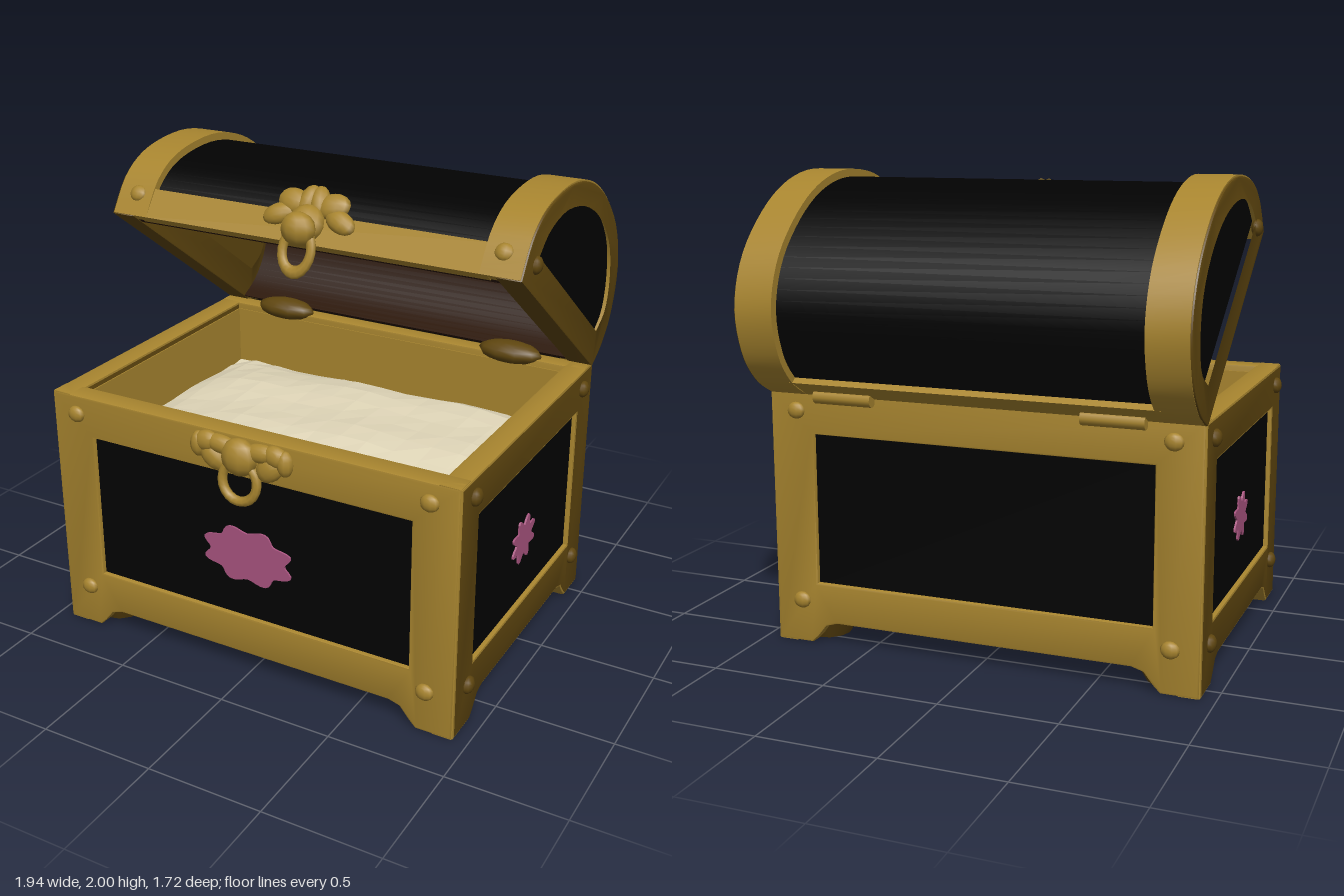
import * as THREE from 'three';
import { toCreasedNormals } from 'three/addons/utils/BufferGeometryUtils.js';

const mat = (name, color, extra = {}) => Object.assign(new THREE.MeshStandardMaterial({ color, ...extra }), { name });

export function createModel() {
  const gold = mat('gold trim', 0xa8852f);
  const darkGold = mat('dark gold sides', 0x5f460f);
  const black = mat('black panel', 0x020202);
  const brown = mat('brown lining', 0x2a1404);
  const cream = mat('cream filling', 0xe2d8ba, { flatShading: true });
  const pink = mat('pink emblem', 0xa8547f);
  const root = new THREE.Group();
  root.name = 'chest';

  const add = (parent, name, geo, material, pos = [0, 0, 0], scale = [1, 1, 1]) => {
    const m = new THREE.Mesh(geo, material);
    m.name = name;
    m.position.set(...pos);
    m.scale.set(...scale);
    parent.add(m);
    return m;
  };
  const group = (name, parent, pos, rx = 0, ry = 0) => {
    const g = new THREE.Group();
    g.name = name;
    g.position.set(...pos);
    g.rotation.set(rx, ry, 0);
    parent.add(g);
    return g;
  };
  const toShape = (pts) => new THREE.Shape(pts.map(([x, y]) => new THREE.Vector2(x, y)));
  const extrude = (pts, depth, holes = [], bevel = 0) => {
    const shape = toShape(pts);
    holes.forEach((h) => shape.holes.push(toShape(h)));
    const geo = new THREE.ExtrudeGeometry(shape, {
      depth: depth - 2 * bevel, bevelEnabled: bevel > 0, bevelSize: bevel,
      bevelThickness: bevel, bevelOffset: -bevel, bevelSegments: 2,
    });
    geo.translate(0, 0, bevel);
    return toCreasedNormals(geo, 0.6);
  };
  const ball = new THREE.SphereGeometry(1, 10, 8);
  const rivet = (parent, x, y, z, material) => add(parent, 'rivet', ball, material, [x, y, z], [0.04, 0.036, 0.024]);

  // Scalloped flower plate
  const flower = (n, rx, ry, depth) => extrude(
    Array.from({ length: n * 8 }, (_, i) => {
      const a = (i / (n * 8)) * Math.PI * 2;
      const r = 1 - depth + depth * Math.cos(n * a + Math.PI);
      return [rx * r * Math.cos(a), ry * r * Math.sin(a)];
    }), 0.008);

  // One wall of the box: footed frame, sunken panel, inner lining
  const wall = (name, w, h, pos, ry, face, emblem) => {
    const g = group(name, root, pos, 0, ry);
    const outline = [[-w, 0], [-w + 0.16, 0], [-w + 0.19, 0.03], [-w + 0.23, 0.08], [-w + 0.28, 0.095],
      [w - 0.28, 0.095], [w - 0.23, 0.08], [w - 0.19, 0.03], [w - 0.16, 0], [w, 0], [w, 1.1], [-w, 1.1]];
    const hole = [[-h, 0.27], [-h, 0.92], [h, 0.92], [h, 0.27]];
    // Flat faces take the wall's own tone, rims stay gold
    add(g, 'frame', extrude(outline, 0.1, [hole], 0.01), [face, gold], [0, 0, -0.1]);
    add(g, 'panel', new THREE.BoxGeometry(2 * h + 0.06, 0.71, 0.05), black, [0, 0.595, -0.045]);
    add(g, 'innerLining', new THREE.BoxGeometry(2 * w - 0.12, 0.96, 0.03), gold, [0, 0.59, -0.09]);
    for (const s of [-1, 1]) for (const y of [0.19, 1.02]) rivet(g, s * (w - 0.12), y, 0.005, face);
    if (emblem) add(g, 'flowerEmblem', emblem, pink, [0, 0.555, -0.02]);
  };
  const W = 0.94, D = 0.695, cz = 0.095;
  const sideFlower = flower(8, 0.125, 0.105, 0.19);
  wall('frontWall', W - 0.005, 0.74, [0, 0, 0.79], 0, gold, flower(8, 0.22, 0.132, 0.1));
  wall('backWall', W - 0.005, 0.74, [0, 0, -0.6], Math.PI, gold);
  wall('leftWall', D - 0.003, 0.52, [W, 0, cz], Math.PI / 2, darkGold, sideFlower);
  wall('rightWall', D - 0.003, 0.52, [-W, 0, cz], -Math.PI / 2, darkGold, sideFlower);

  // Floor and corner feet
  add(root, 'floor', new THREE.BoxGeometry(1.8, 0.04, 1.3), darkGold, [0, 0.105, cz]);
  for (const sx of [-1, 1]) for (const sz of [-1, 1]) {
    add(root, 'foot', new THREE.CylinderGeometry(0.15, 0.1, 0.09, 12), darkGold,
      [sx * (W - 0.16), 0.046, cz + sz * (D - 0.16)]);
  }

  // Uneven mound filling the box
  const fill = new THREE.PlaneGeometry(1.74, 1.24, 14, 10).rotateX(-Math.PI / 2);
  const p = fill.attributes.position;
  for (let i = 0; i < p.count; i++) {
    const x = p.getX(i), z = p.getZ(i);
    const mound = (1 - (x / 0.87) ** 2) * (1 - (z / 0.62) ** 2);
    p.setY(i, 0.8 + 0.09 * Math.sqrt(Math.max(0, mound)) + 0.014 * Math.sin(7 * x + 3 * z) * Math.cos(9 * z - 4 * x));
  }
  fill.computeVertexNormals();
  add(root, 'filling', fill, cream, [0, 0, cz]);

  // Lid: profiles use u along the opening and v outward, tilted open about the hinge
  const lid = group('lid', root, [0, 0, 0]);
  const toZY = ([u, v]) => [0.31 + 0.805 * u - 0.593 * v, 1.75 + 0.593 * u + 0.805 * v];
  const extrudeX = (uv, x0, x1, holes = [], bevel = 0) => {
    const flat = (pts) => pts.map((q) => { const [z, y] = toZY(q); return [-z, y]; });
    return extrude(flat(uv), x1 - x0, holes.map(flat), bevel).rotateY(Math.PI / 2).translate(x0, 0, 0);
  };
  const spline = (pts, n) => new THREE.SplineCurve(pts.map((q) => new THREE.Vector2(...q))).getPoints(n).map((q) => [q.x, q.y]);
  const arch = spline([[0, 0], [0, 0.18], [-0.08, 0.34], [-0.27, 0.51], [-0.48, 0.605], [-0.7, 0.63],
    [-0.93, 0.59], [-1.1, 0.47], [-1.18, 0.29], [-1.175, 0.13], [-1.12, 0]], 44);
  const scaled = (k, drop = 0) => arch.map(([u, v]) => [-0.585 + (u + 0.585) * k, v * k - drop]);
  const strip = (k0, k1) => [...scaled(k0), ...scaled(k1).reverse()];
  const windowHole = spline([[-0.1, 0.13], [-0.14, 0.26], [-0.27, 0.4], [-0.48, 0.5], [-0.7, 0.53],
    [-0.9, 0.49], [-1.03, 0.38], [-1.085, 0.25], [-1.04, 0.13]], 28);
  const panelShape = windowHole.map(([u, v]) => [-0.59 + (u + 0.59) * 1.05, 0.3 + (v - 0.3) * 1.1]);

  add(lid, 'barrel', extrudeX(strip(0.945, 0.925), -0.8, 0.8), black);
  add(lid, 'barrelLining', extrudeX(strip(0.925, 0.87), -0.835, 0.835), brown);
  add(lid, 'frontRail', extrudeX([[0, 0], [0, 0.13], [-0.05, 0.13], [-0.05, -0.003]], -0.8, 0.8), gold);
  add(lid, 'backRail', extrudeX([[-1.12, 0], [-1.175, 0.13], [-1.13, 0.13], [-1.09, 0]], -0.8, 0.8), gold);
  for (const s of [-1, 1]) {
    const span = (a, b) => (s > 0 ? [a, b] : [-b, -a]);
    add(lid, 'endFrame', extrudeX(scaled(0.995, 0.004), ...span(0.83, 0.94), [windowHole], 0.006), darkGold);
    add(lid, 'endBand', extrudeX(strip(1, 0.9), ...span(0.765, 0.932)), gold);
    add(lid, 'endPanel', extrudeX(panelShape, ...span(0.86, 0.915)), black);
    add(lid, 'endLining', extrudeX(panelShape, ...span(0.835, 0.859)), darkGold);
    const [sz, sy] = toZY([-0.1, 0.1]);
    rivet(group('sideRivet', lid, [s * 0.94, sy, sz], 0, s * Math.PI / 2), 0, 0, 0, darkGold);
    const [fz, fy] = toZY([0, 0.1]);
    rivet(group('frontRivet', lid, [s * 0.84, fy, fz], -0.635), 0, 0, 0, gold);

    // Hinges
    add(root, 'hingeBarrel', new THREE.CylinderGeometry(0.03, 0.03, 0.26, 10).rotateZ(Math.PI / 2), gold,
      [s * 0.58, 1.09, -0.62]);
    add(root, 'hingeLeaf', ball, darkGold, [s * 0.58, 1.11, -0.52], [0.15, 0.05, 0.07]);
  }

  // Clasps: leafy plate, round boss and hanging ring
  const clasp = (name, pos, rx, petals, bossY) => {
    const g = group(name, root, pos, rx);
    for (const s of [-1, 1]) for (const [x, y, a, b, turn] of petals) {
      add(g, 'leaf', ball, gold, [s * x, y, 0.005], [a, b, 0.035]).rotation.z = s * turn;
    }
    add(g, 'boss', ball, gold, [0, bossY, 0.02], [0.08, 0.08, 0.055]);
  };
  const ring = (name, r, stretch, pos, rx) => {
    const m = add(root, name, new THREE.TorusGeometry(r, 0.02, 8, 20), gold, pos, [1, stretch, 1]);
    m.rotation.x = rx;
  };
  clasp('lowerClasp', [0, 1.01, 0.79], 0,
    [[0.09, 0.04, 0.08, 0.04, 0.1], [0.16, 0.04, 0.06, 0.045, -0.2], [0.13, -0.02, 0.07, 0.05, 0.7], [0.2, 0.02, 0.035, 0.055, 0]], 0.01);
  ring('lowerRing', 0.08, 1.05, [0, 0.915, 0.815], -0.1);
  const [uz, uy] = toZY([0, 0.13]);
  clasp('upperClasp', [0, uy, uz], -0.635,
    [[0.025, 0.05, 0.045, 0.07, 0.2], [0.09, 0.04, 0.075, 0.055, 0.2], [0.14, -0.02, 0.075, 0.045, -0.4]], -0.05);
  add(root, 'upperKnob', ball, gold, [0, 1.82, 0.34], [0.075, 0.07, 0.06]);
  ring('upperRing', 0.065, 1.35, [0, 1.735, 0.355], -0.35);

  return root;
}
